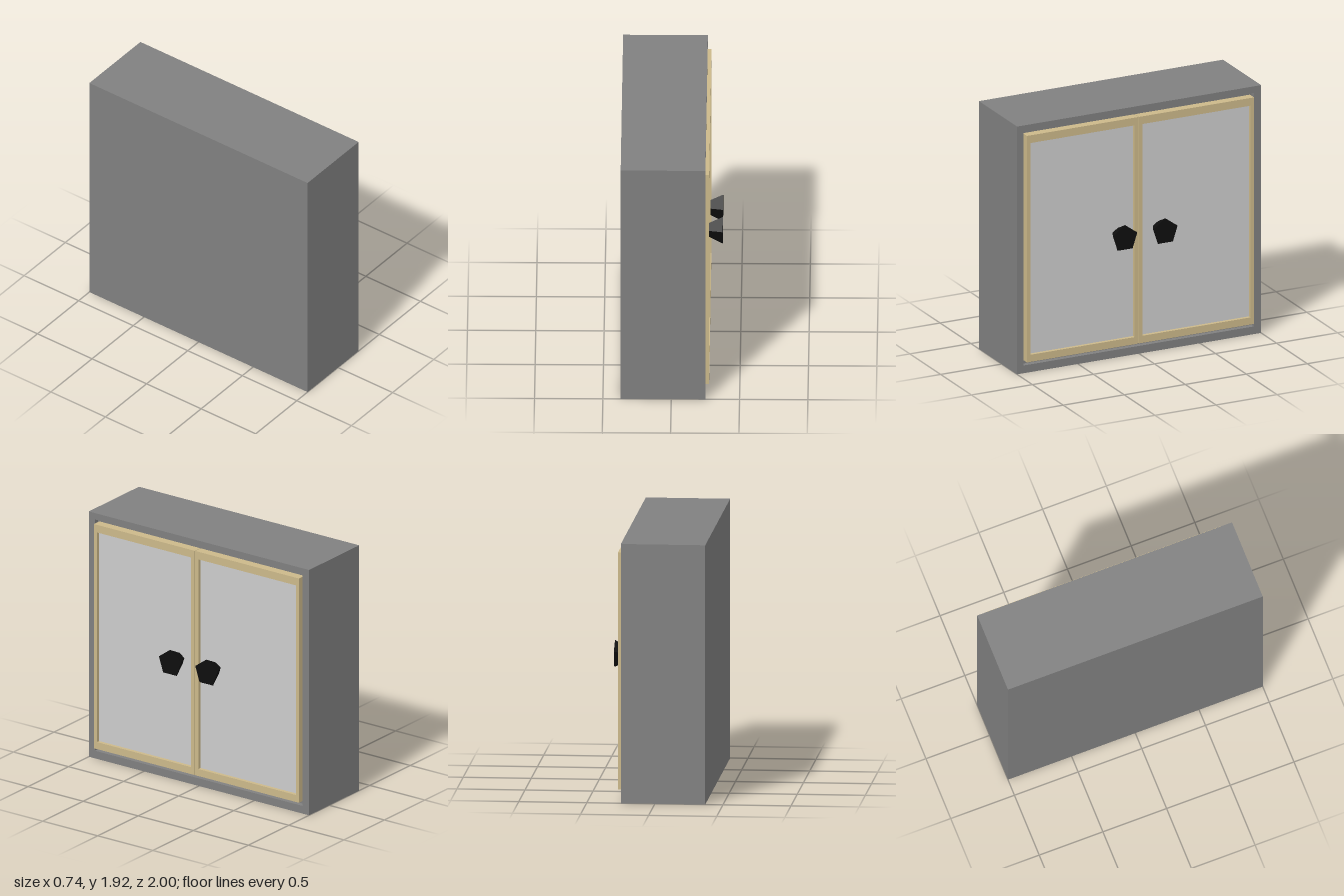
import * as THREE from 'three';

const material = (name, color, extra = {}) => {
  const m = new THREE.MeshStandardMaterial({ color, ...extra });
  m.name = name;
  return m;
};

// Traces a rectangle given by its z and y limits (shape x runs along -z)
function rect(path, z0, z1, y0, y1) {
  path.moveTo(-z1, y0);
  path.lineTo(-z0, y0);
  path.lineTo(-z0, y1);
  path.lineTo(-z1, y1);
  path.closePath();
  return path;
}

// Rectangular ring facing +x, between x0 and x1
function ring(outer, inner, x0, x1) {
  const shape = rect(new THREE.Shape(), ...outer);
  shape.holes.push(rect(new THREE.Path(), ...inner));
  return new THREE.ExtrudeGeometry(shape, { depth: x1 - x0, bevelEnabled: false })
    .rotateY(Math.PI / 2).translate(x0, 0, 0);
}

// Box given by its limits
function block(x0, x1, y0, y1, z0, z1) {
  return new THREE.BoxGeometry(x1 - x0, y1 - y0, z1 - z0)
    .translate((x0 + x1) / 2, (y0 + y1) / 2, (z0 + z1) / 2);
}

export function createModel() {
  const grey = material('case grey', 0x808080);
  const tan = material('frame tan', 0xccb98a);
  const pale = material('panel pale grey', 0xcccccc);
  const black = material('knob black', 0x0e0e0e);

  const model = new THREE.Group();
  model.name = 'cabinet';
  const add = (parent, name, geometry, mat) => {
    const mesh = new THREE.Mesh(geometry, mat);
    mesh.name = name;
    parent.add(mesh);
    return mesh;
  };

  // Case: solid body with a shallow recess for the doors
  const recess = 0.21, front = 0.25, height = 1.925;
  const body = new THREE.Group();
  body.name = 'case';
  model.add(body);
  add(body, 'caseBody', block(-0.37, recess, 0, height, -1, 1), grey);
  add(body, 'caseRim', ring([-1, 1, 0, height], [-0.94, 0.945, 0.06, 1.875], recess, front), grey);

  // Doors: frame, inset panel and five-sided flared knob
  const doors = [
    { name: 'leftDoor', z: [0.018, 0.932], panel: [0.05, 0.905], knobZ: 0.175 },
    { name: 'rightDoor', z: [-0.928, 0.014], panel: [-0.9, -0.015], knobZ: -0.155 },
  ];
  for (const { name, z, panel, knobZ } of doors) {
    const door = new THREE.Group();
    door.name = name;
    model.add(door);
    add(door, 'doorFrame', ring([...z, 0.09, 1.85], [...panel, 0.145, 1.79], recess, 0.277), tan);
    add(door, 'doorPanel', block(recess, 0.25, 0.145, 1.79, ...panel), pale);
    const knob = new THREE.CylinderGeometry(0.105, 0.045, 0.12, 5, 1, false, -Math.PI / 2)
      .rotateZ(-Math.PI / 2).toNonIndexed();
    knob.computeVertexNormals();
    add(door, 'knob', knob, black).position.set(0.31, 0.96, knobZ);
  }
  return model;
}
